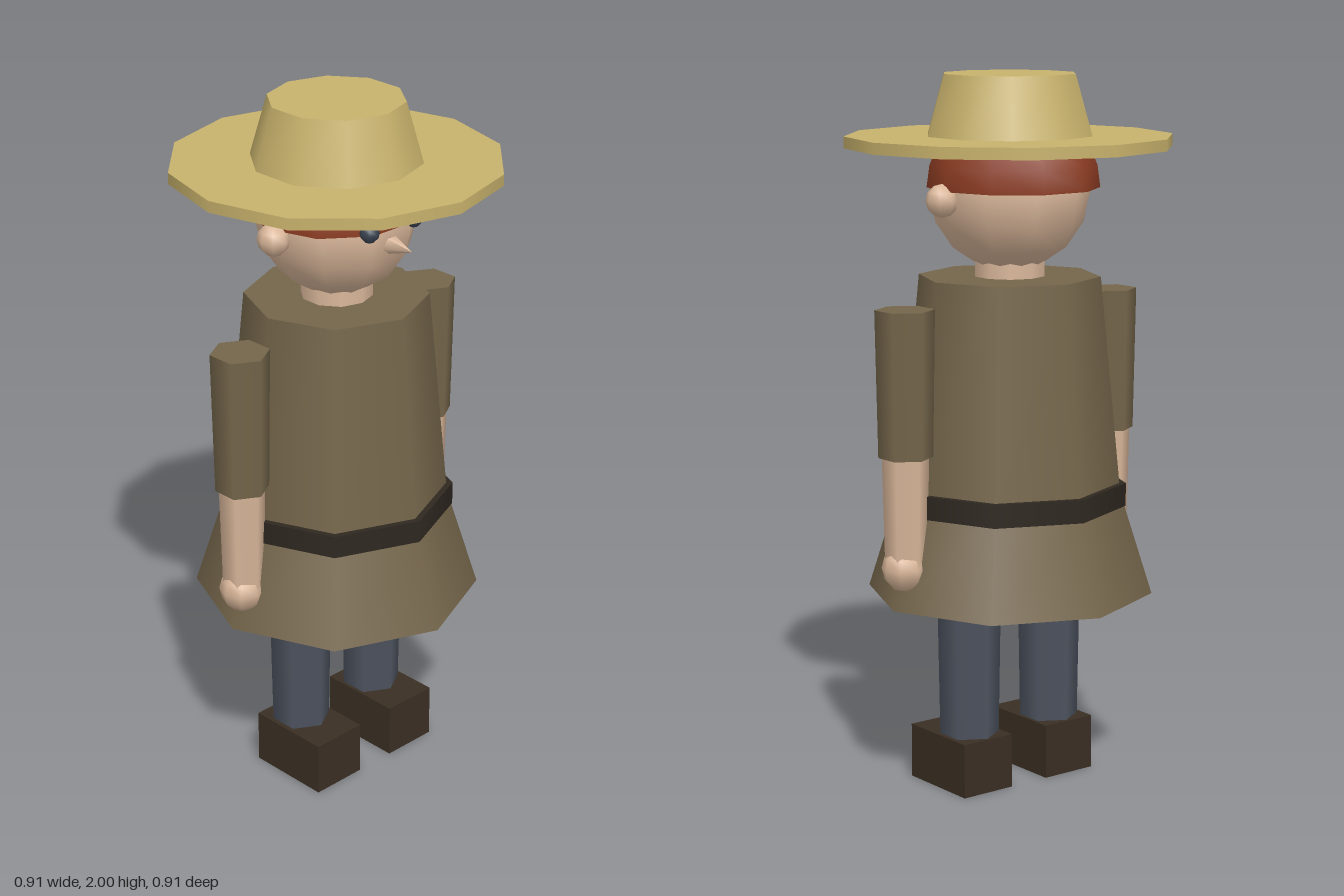
import * as THREE from 'three';

const paint = (name, color) => {
  const m = new THREE.MeshStandardMaterial({ color });
  m.name = name;
  return m;
};

export function createModel() {
  const straw = paint('straw', 0xc8b26c);
  const coat = paint('coat brown', 0x75664b);
  const skin = paint('skin', 0xdab79a);
  const red = paint('red hair', 0x8c3c22);
  const denim = paint('trouser blue', 0x4d535f);
  const beltDark = paint('belt brown', 0x2f2821);
  const boot = paint('boot brown', 0x3a2e23);
  const eyeGrey = paint('eye grey', 0x3c4452);

  const model = new THREE.Group();
  model.name = 'figure';

  const add = (name, geometry, material, x = 0, y = 0, z = 0) => {
    const mesh = new THREE.Mesh(geometry, material);
    mesh.name = name;
    mesh.position.set(x, y, z);
    model.add(mesh);
    return mesh;
  };
  // Tapered tube between two heights
  const taper = (name, material, y0, y1, r0, r1, sides, x = 0) =>
    add(name, new THREE.CylinderGeometry(r1, r0, y1 - y0, sides), material, x, (y0 + y1) / 2, 0);

  // Hat
  taper('hatBrim', straw, 1.8, 1.832, 0.455, 0.455, 12);
  taper('hatCrown', straw, 1.832, 2.0, 0.235, 0.187, 10);

  // Head, hair cap and neck
  add('head', new THREE.SphereGeometry(0.222, 10, 8), skin, 0, 1.68, 0);
  const hair = add('hair',
    new THREE.SphereGeometry(0.236, 10, 6, 0, Math.PI * 2, 0, Math.PI / 2), red, 0, 1.69, -0.018);
  hair.scale.z = 1.03;
  hair.material.side = THREE.DoubleSide;
  taper('neck', skin, 1.4, 1.5, 0.1, 0.1, 10);

  // Nose
  const nose = add('nose', new THREE.ConeGeometry(0.03, 0.09, 5), skin, 0, 1.645, 0.24);
  nose.rotation.x = Math.PI / 2;

  // Coat: body, belt and flared skirt
  taper('coatBody', coat, 0.83, 1.445, 0.313, 0.254, 8);
  taper('belt', beltDark, 0.8, 0.865, 0.328, 0.328, 8);
  taper('coatSkirt', coat, 0.55, 0.82, 0.403, 0.318, 8);

  // Mirrored parts
  for (const [side, s] of [['left', 1], ['right', -1]]) {
    add(side + 'Ear', new THREE.SphereGeometry(0.046, 8, 6), skin, s * 0.23, 1.665, 0);
    add(side + 'Eye', new THREE.SphereGeometry(0.027, 8, 6), eyeGrey, s * 0.082, 1.7, 0.208);
    taper(side + 'Sleeve', coat, 0.975, 1.38, 0.075, 0.082, 6, s * 0.357);
    taper(side + 'Forearm', skin, 0.66, 1.0, 0.058, 0.065, 6, s * 0.358);
    add(side + 'Hand', new THREE.SphereGeometry(0.064, 8, 6), skin, s * 0.364, 0.665, 0);
    taper(side + 'Leg', denim, 0.14, 0.57, 0.083, 0.09, 6, s * 0.143);
    add(side + 'Boot', new THREE.BoxGeometry(0.168, 0.155, 0.252), boot, s * 0.145, 0.0775, 0.035);
  }
  return model;
}
